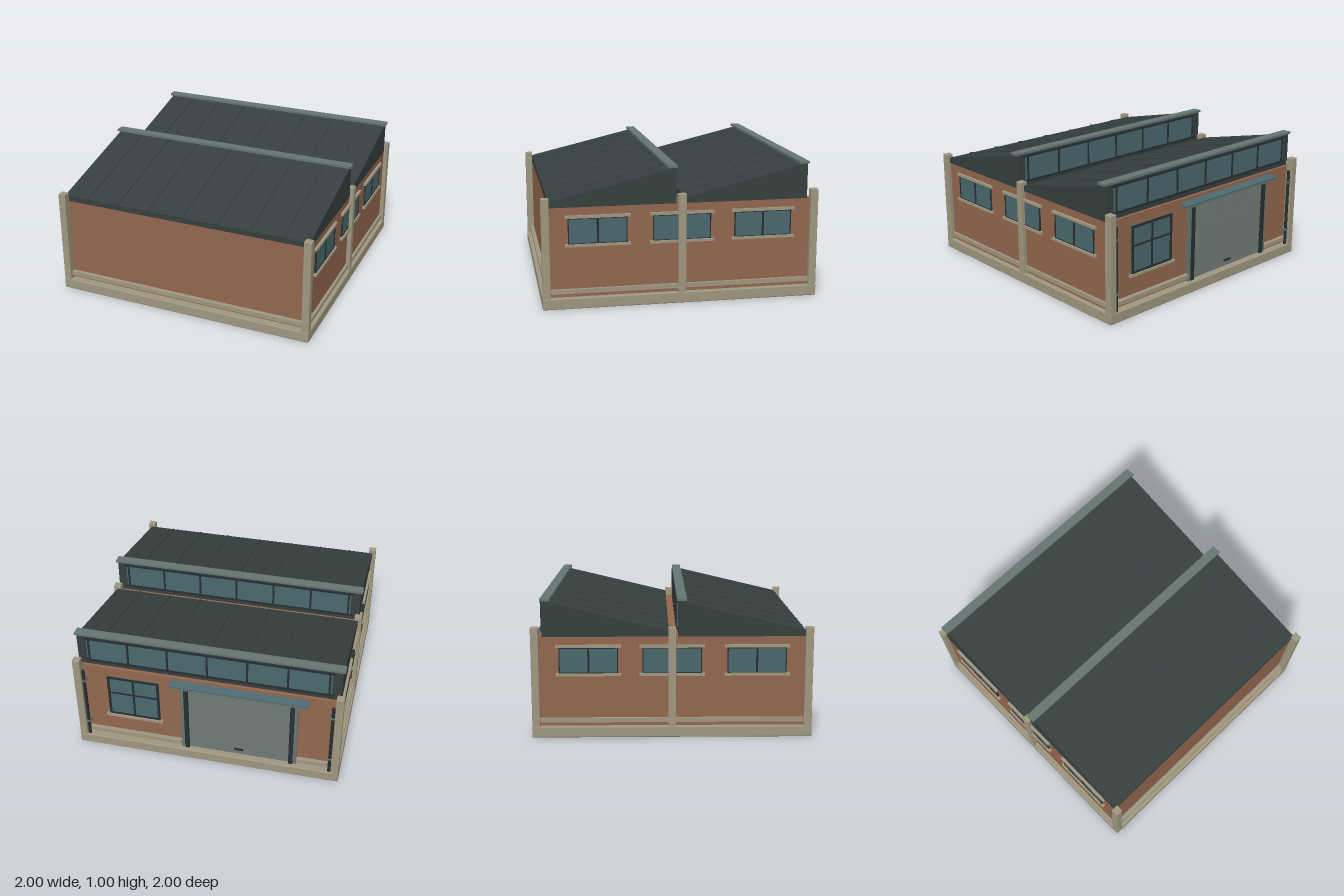
import * as THREE from 'three';
import { RoundedBoxGeometry } from 'three/addons/geometries/RoundedBoxGeometry.js';

const mat = (name, color) => {
  const m = new THREE.MeshStandardMaterial({ color });
  m.name = name;
  return m;
};

export function createModel() {
  const brick = mat('brick', 0x93674f);
  const concrete = mat('concrete', 0x9f9780);
  const roofing = mat('roofing', 0x363f3f);
  const trim = mat('metal trim', 0x667672);
  const glass = mat('glass', 0x4b686e);
  const dark = mat('dark frame', 0x272f31);
  const steel = mat('shutter steel', 0x69736f);

  const model = new THREE.Group();
  model.name = 'sawtoothWorkshop';

  const group = (name, parent = model) => {
    const g = new THREE.Group();
    g.name = name;
    parent.add(g);
    return g;
  };
  const add = (name, geo, material, parent = model) => {
    const m = new THREE.Mesh(geo, material);
    m.name = name;
    parent.add(m);
    return m;
  };
  // Box given by its ranges along x, y and z
  const box = (name, material, [x0, x1], [y0, y1], [z0, z1], parent = model, r = 0) => {
    const w = x1 - x0, h = y1 - y0, d = z1 - z0;
    const geo = r ? new RoundedBoxGeometry(w, h, d, 2, r) : new THREE.BoxGeometry(w, h, d);
    geo.translate((x0 + x1) / 2, (y0 + y1) / 2, (z0 + z1) / 2);
    return add(name, geo, material, parent);
  };

  // Base slab, walls and columns
  box('baseSlab', concrete, [-1, 1], [0, 0.08], [-1, 1], model, 0.008);
  box('brickWalls', brick, [-0.965, 0.965], [0.07, 0.732], [-0.943, 0.943]);
  for (const s of [-1, 1]) {
    for (const z of [-0.97, 0, 0.97]) {
      const x = s * 0.97;
      box('column', concrete, [x - 0.028, x + 0.028], [0.07, 0.797], [z - 0.028, z + 0.028], model, 0.004);
    }
  }

  // Skirting ledge, broken at the door on the back
  const ledge = [0.108, 0.14];
  box('frontLedge', concrete, [-0.945, 0.945], ledge, [0.94, 0.975]);
  box('backLedgeLeft', concrete, [0.2, 0.945], ledge, [-0.975, -0.94]);
  box('backLedgeRight', concrete, [-0.945, -0.68], ledge, [-0.975, -0.94]);
  box('leftLedge', concrete, [0.96, 0.985], ledge, [-0.945, 0.945]);
  box('rightLedge', concrete, [-0.985, -0.96], ledge, [-0.945, 0.945]);

  // Sawtooth roof bays: wedge, standing seams, ridge cap and clerestory
  const buildBay = (name, eave, ridge) => {
    const bay = group(name);
    const low = 0.77, high = 0.985;
    const profile = new THREE.Shape([
      new THREE.Vector2(ridge, 0.728), new THREE.Vector2(eave, 0.728),
      new THREE.Vector2(eave, low), new THREE.Vector2(ridge, high),
    ]);
    const wedge = new THREE.ExtrudeGeometry(profile, { depth: 1.942, bevelEnabled: false });
    wedge.translate(0, 0, -0.971);
    wedge.rotateY(-Math.PI / 2);
    add('roofWedge', wedge, roofing, bay);

    const run = eave - ridge, rise = high - low;
    for (const x of [-0.775, -0.527, -0.278, 0, 0.278, 0.527, 0.775]) {
      const seam = add('roofSeam', new THREE.BoxGeometry(0.008, 0.012, Math.hypot(run, rise)), roofing, bay);
      seam.position.set(x, (low + high) / 2, (eave + ridge) / 2);
      seam.rotation.x = Math.atan2(rise, run);
    }
    box('ridgeCap', trim, [-0.985, 0.985], [0.983, 1], [ridge - 0.008, ridge + 0.062], bay);

    // Clerestory glazing on the upright face
    box('clerestoryGlass', glass, [-0.9, 0.9], [0.78, 0.965], [ridge - 0.008, ridge], bay);
    box('clerestoryTopRail', dark, [-0.915, 0.915], [0.96, 0.974], [ridge - 0.014, ridge], bay);
    box('clerestorySill', dark, [-0.915, 0.915], [0.768, 0.784], [ridge - 0.014, ridge], bay);
    for (let i = -3; i <= 3; i++) {
      const x = i * 0.294;
      box('mullion', dark, [x - 0.007, x + 0.007], [0.775, 0.97], [ridge - 0.014, ridge], bay);
    }
  };
  buildBay('frontRoofBay', 0.945, 0.042);
  buildBay('backRoofBay', -0.024, -0.92);

  // A window built facing +z, centred on x = 0, its wall face at z = 0
  const makeWindow = (name, w, y0, y1, bars) => {
    const g = group(name);
    const h = w / 2, f = bars ? 0.018 : 0.007, t = 0.016;
    box('pane', glass, [-h, h], [y0, y1], [-0.01, 0.006], g);
    for (const s of [-1, 1]) {
      const x = s * (h - f / 2);
      box('jamb', dark, [x - f / 2, x + f / 2], [y0, y1], [0, 0.012], g);
    }
    box('headRail', dark, [-h, h], [y1 - f, y1], [0, 0.012], g);
    box('footRail', dark, [-h, h], [y0, y0 + f], [0, 0.012], g);
    box('middlePost', dark, [-0.007, 0.007], [y0, y1], [0, 0.012], g);
    if (bars) {
      const m = (y0 + y1) / 2 + 0.03;
      box('crossBar', dark, [-h, h], [m - 0.006, m + 0.006], [0, 0.012], g);
    } else {
      box('lintel', concrete, [-h - 0.022, h + 0.022], [y1, y1 + 0.02], [0, 0.02], g);
    }
    box('sill', concrete, [-h - 0.022, h + 0.022], [y0 - t, y0 + 0.003], [0, 0.024], g);
    return g;
  };
  for (const s of [-1, 1]) {
    for (const z of [-0.593, 0, 0.602]) {
      const w = makeWindow('sideWindow', 0.42, 0.463, 0.65, false);
      w.position.set(s * 0.965, 0, z);
      w.rotation.y = s * Math.PI / 2;
    }
  }
  const backWindow = makeWindow('backWindow', 0.395, 0.295, 0.655, true);
  backWindow.position.set(0.56, 0, -0.943);
  backWindow.rotation.y = Math.PI;

  // Roller shutter door
  const door = group('rollerDoor');
  const cx = -0.24, half = 0.4;
  box('shutterBacking', dark, [cx - half, cx + half], [0.08, 0.66], [-0.948, -0.94], door);
  const slats = 15, pitch = 0.57 / slats;
  for (let i = 0; i < slats; i++) {
    const slat = add('slat', new THREE.BoxGeometry(half * 2, pitch * 0.92, 0.008), steel, door);
    slat.position.set(cx, 0.085 + pitch * (i + 0.5), -0.952);
    slat.rotation.x = 0.18;
  }
  for (const s of [-1, 1]) {
    const x = cx + s * (half - 0.005), o = cx + s * (half + 0.025);
    box('guideRail', dark, [x - 0.016, x + 0.016], [0.08, 0.665], [-0.972, -0.94], door);
    box('doorFrame', steel, [o - 0.014, o + 0.014], [0.08, 0.67], [-0.964, -0.94], door);
  }
  box('handle', dark, [cx - 0.035, cx + 0.035], [0.125, 0.14], [-0.967, -0.95], door);

  // Sloping canopy over the door
  const canopy = add('canopy', new THREE.BoxGeometry(1.02, 0.016, 0.06), glass, door);
  canopy.position.set(cx, 0.692, -0.969);
  canopy.rotation.x = -0.3;
  box('canopyRail', trim, [cx - 0.51, cx + 0.51], [0.668, 0.69], [-0.998, -0.988], door);

  // Downpipes at the back corners
  for (const s of [-1, 1]) {
    const pipe = add('downpipe', new THREE.CylinderGeometry(0.012, 0.012, 0.62, 12), dark);
    pipe.position.set(s * 0.927, 0.39, -0.978);
    for (const y of [0.2, 0.6]) {
      box('pipeBracket', trim, [s * 0.927 - 0.016, s * 0.927 + 0.016], [y, y + 0.014], [-0.992, -0.94]);
    }
  }
  return model;
}
